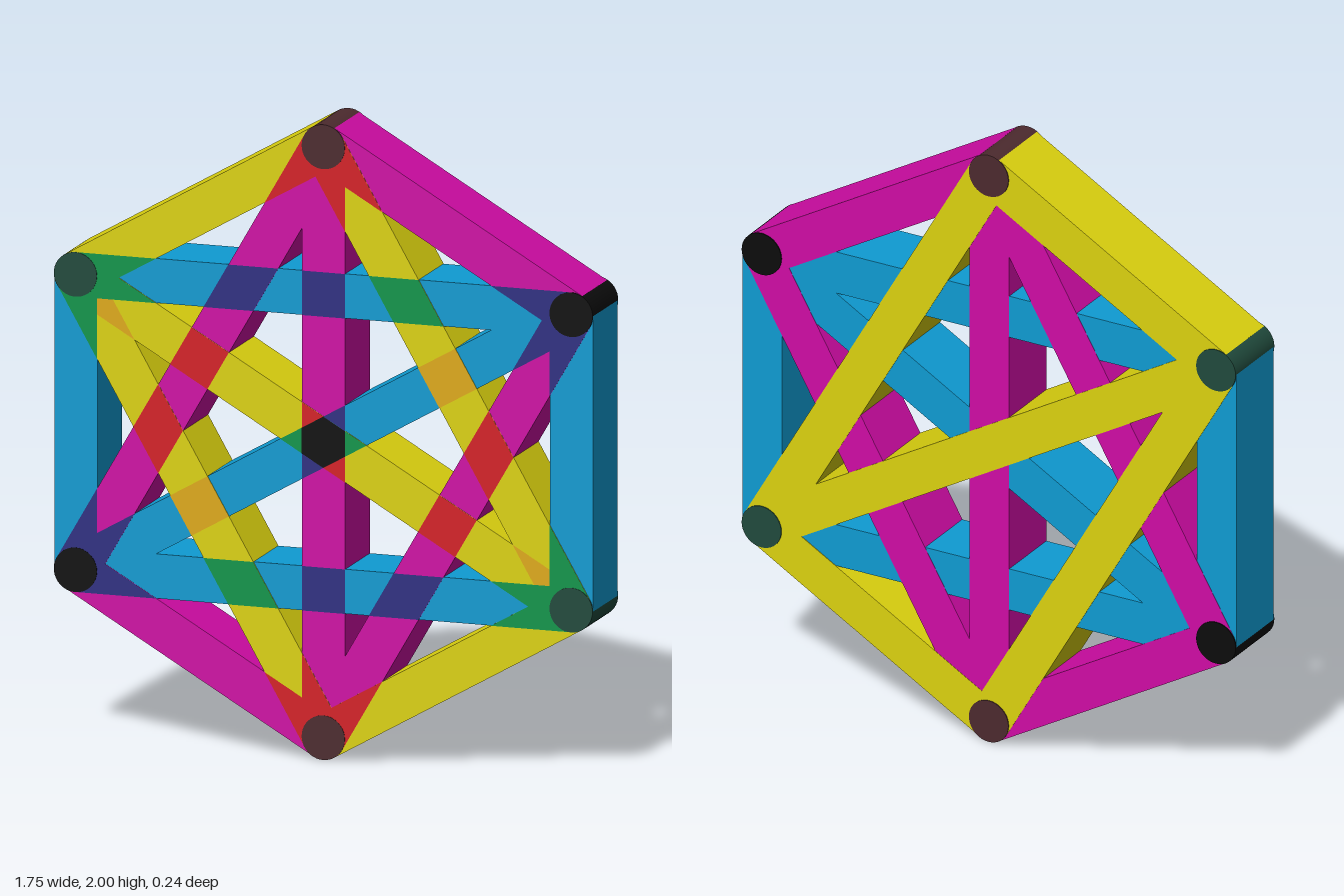
import * as THREE from 'three';

const R = 0.93, W = 0.07, CY = 1;
const COLORS = { cyan: 0x0f9bd2, magenta: 0xd00ca5, yellow: 0xdcd20f };
const BLENDS = { 'cyan-magenta': 0x303082, 'magenta-yellow': 0xd42026, 'cyan-yellow': 0x0e964b, 'yellow-yellow': 0xdeaa19 };
const HALF_DEPTH = { cyan: 0.113, magenta: 0.114, yellow: 0.115 };

// Hexagon corners, clockwise from the top
const corners = [];
for (let i = 0; i < 6; i++) {
  const a = Math.PI / 2 - i * Math.PI / 3;
  corners.push(new THREE.Vector2(R * Math.cos(a), CY + R * Math.sin(a)));
}

// Every corner is joined to every other: [from, to, colour]
const LINKS = [
  [0, 1, 'magenta'], [1, 2, 'cyan'], [2, 3, 'yellow'], [3, 4, 'magenta'], [4, 5, 'cyan'], [5, 0, 'yellow'],
  [5, 1, 'cyan'], [4, 2, 'cyan'], [0, 4, 'magenta'], [1, 3, 'magenta'], [0, 2, 'yellow'], [5, 3, 'yellow'],
  [0, 3, 'magenta'], [5, 2, 'yellow'], [4, 1, 'cyan'],
];

const materials = new Map();
function material(color) {
  if (!materials.has(color)) materials.set(color, new THREE.MeshStandardMaterial({ color }));
  return materials.get(color);
}

// Counter-clockwise outline of a bar
function outline([i, j]) {
  const a = corners[i], b = corners[j];
  const d = b.clone().sub(a).normalize();
  const n = new THREE.Vector2(-d.y, d.x).multiplyScalar(W);
  return [a.clone().sub(n), b.clone().sub(n), b.clone().add(n), a.clone().add(n)];
}

// Intersection of two convex outlines
function intersect(subject, clip) {
  let out = subject;
  clip.forEach((p, k) => {
    const q = clip[(k + 1) % clip.length];
    const side = v => (q.x - p.x) * (v.y - p.y) - (q.y - p.y) * (v.x - p.x);
    const next = [];
    out.forEach((v, m) => {
      const w = out[(m + 1) % out.length], sv = side(v), sw = side(w);
      if (sv >= 0) next.push(v);
      if (sv * sw < 0) next.push(v.clone().lerp(w, sv / (sv - sw)));
    });
    out = next;
  });
  return out;
}

export function createModel() {
  const model = new THREE.Group();
  model.name = 'hexagonLattice';
  const add = (name, geometry, color) => {
    const mesh = new THREE.Mesh(geometry, material(color));
    mesh.name = name;
    model.add(mesh);
    return mesh;
  };
  const addPatch = (name, points, color, z) => {
    if (points.length < 3 || Math.abs(THREE.ShapeUtils.area(points)) < 1e-4) return;
    add(name, new THREE.ShapeGeometry(new THREE.Shape(points)), color).position.z = z;
  };

  // Bars
  for (const [i, j, c] of LINKS) {
    const a = corners[i], b = corners[j];
    const bar = add(c + 'Bar', new THREE.BoxGeometry(a.distanceTo(b), 2 * W, 2 * HALF_DEPTH[c]), COLORS[c]);
    bar.position.set((a.x + b.x) / 2, (a.y + b.y) / 2, 0);
    bar.rotation.z = Math.atan2(b.y - a.y, b.x - a.x);
  }

  // Round posts at the corners
  const postColors = [0x4c2a2e, 0x0c0c0c, 0x204a3c];
  corners.forEach((p, i) => {
    const post = add('cornerPost', new THREE.CylinderGeometry(W, W, 0.236, 40).rotateX(Math.PI / 2), postColors[i % 3]);
    post.position.set(p.x, p.y, 0);
  });

  // Blended colour patches on the front, where bars cross
  const outlines = LINKS.map(outline);
  LINKS.forEach((A, a) => LINKS.forEach((B, b) => {
    if (b <= a) return;
    const key = [A[2], B[2]].sort().join('-');
    if (!(key in BLENDS)) return;
    // The long cyan bar tints the short yellow ones orange
    const warm = (a === 10 || a === 11) && b === 14;
    const z = key === 'yellow-yellow' ? 0.1155 : 0.116 + a * 0.00005 + b * 0.000003;
    addPatch('crossingPatch', intersect(outlines[a], outlines[b]), warm ? BLENDS['yellow-yellow'] : BLENDS[key], z);
  }));

  // Black hexagon where the three long bars meet
  addPatch('centrePatch', intersect(intersect(outlines[12], outlines[13]), outlines[14]), 0x0c0c0c, 0.1175);
  return model;
}
